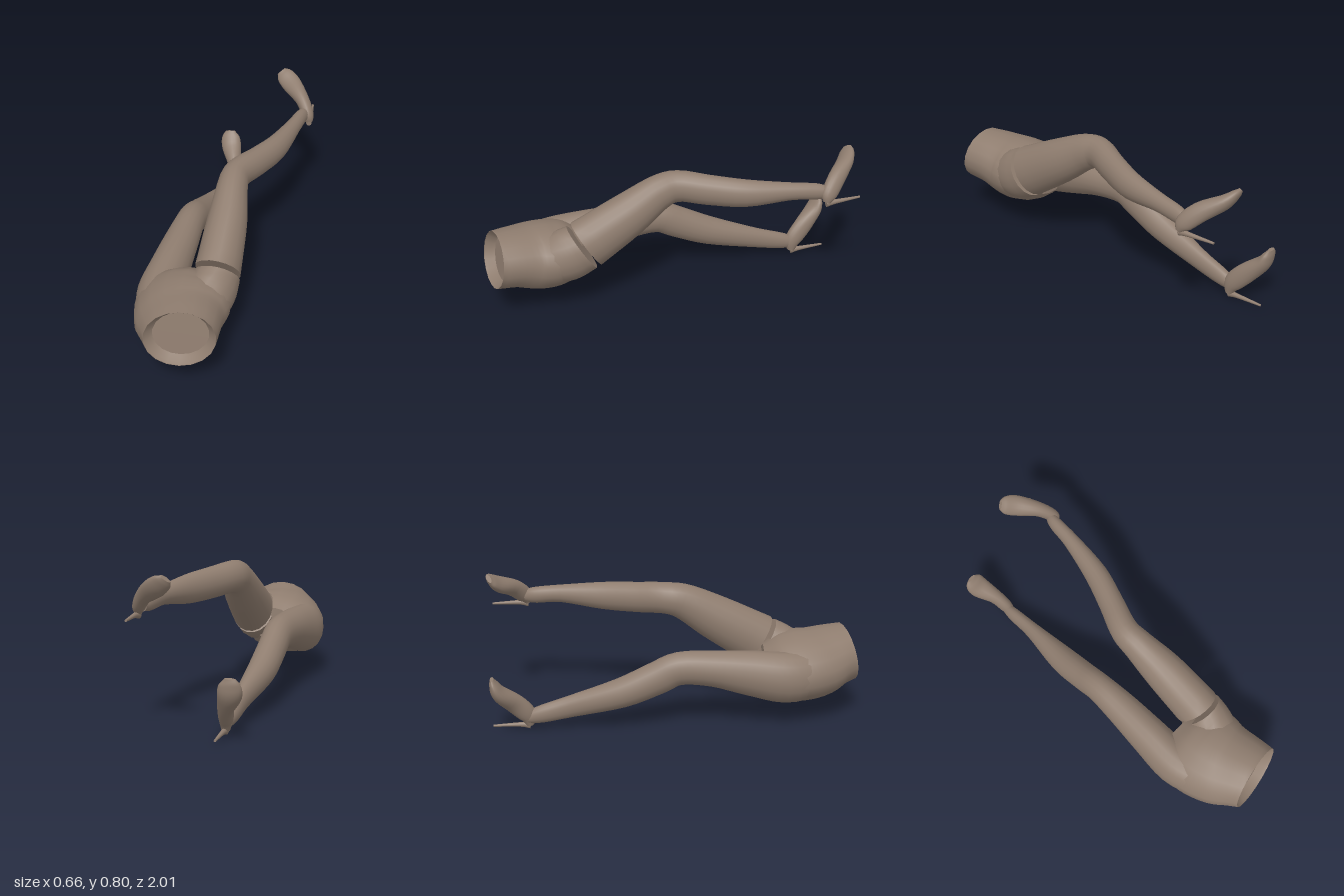
import * as THREE from 'three';

const SIDES = 18;
const STEPS = 4;

// Smooth skin through elliptical stations [x, y, z, halfWidth, halfHeight].
// up: direction of the height axis; startN / endN: cut-plane directions at the ends.
function loft(stations, { up = [0, 1, 0], startN, endN, capStart = false, capEnd = false } = {}) {
  const path = new THREE.CatmullRomCurve3(stations.map(s => new THREE.Vector3(s[0], s[1], s[2])), false, 'catmullrom');
  const radii = new THREE.CatmullRomCurve3(stations.map(s => new THREE.Vector3(s[3], s[4], 0)), false, 'catmullrom');
  const segs = stations.length - 1, rings = segs * STEPS;
  const hint = new THREE.Vector3(...up);
  const pos = [], idx = [];
  const centers = [];
  for (let i = 0; i <= rings; i++) {
    const f = i / rings;
    const c = path.getPoint(f), r = radii.getPoint(f), t = path.getTangent(f);
    const bend = (n, w) => { if (n && w > 0) t.lerp(new THREE.Vector3(...n).normalize(), w).normalize(); };
    bend(startN, 1 - f * segs);
    bend(endN, 1 - (1 - f) * segs);
    const v = hint.clone().addScaledVector(t, -hint.dot(t)).normalize();
    const u = v.clone().cross(t);
    centers.push(c);
    for (let j = 0; j < SIDES; j++) {
      const a = (j / SIDES) * Math.PI * 2;
      const p = c.clone().addScaledVector(u, Math.cos(a) * r.x).addScaledVector(v, Math.sin(a) * r.y);
      pos.push(p.x, p.y, p.z);
    }
  }
  for (let i = 0; i < rings; i++) {
    for (let j = 0; j < SIDES; j++) {
      const a = i * SIDES + j, b = i * SIDES + (j + 1) % SIDES;
      idx.push(a, b, b + SIDES, a, b + SIDES, a + SIDES);
    }
  }
  // Flat end caps with their own vertices
  const cap = (ring, flip) => {
    const base = pos.length / 3, c = centers[ring];
    for (let j = 0; j < SIDES; j++) {
      const k = (ring * SIDES + j) * 3;
      pos.push(pos[k], pos[k + 1], pos[k + 2]);
    }
    pos.push(c.x, c.y, c.z);
    for (let j = 0; j < SIDES; j++) {
      const a = base + j, b = base + (j + 1) % SIDES;
      if (flip) idx.push(b, a, base + SIDES);
      else idx.push(a, b, base + SIDES);
    }
  };
  if (capStart) cap(0, true);
  if (capEnd) cap(rings, false);
  const g = new THREE.BufferGeometry();
  g.setAttribute('position', new THREE.Float32BufferAttribute(pos, 3));
  g.setIndex(idx);
  g.computeVertexNormals();
  return g;
}

export function createModel() {
  const model = new THREE.Group();
  const skin = new THREE.MeshStandardMaterial({ color: 0x8f7d6f, side: THREE.DoubleSide });
  skin.name = 'taupe';
  const add = (name, geometry) => {
    const m = new THREE.Mesh(geometry, skin);
    m.name = name;
    model.add(m);
  };

  const waistN = [-0.14, -0.16, -1];
  const cutN = [0, 0.53, -0.85];

  // Pelvis, open at the waist and rounded off at the crotch
  add('pelvis', loft([
    [0, 0.345, 0.975, 0.183, 0.153],
    [-0.025, 0.333, 0.88, 0.207, 0.16],
    [-0.055, 0.308, 0.77, 0.237, 0.178],
    [-0.068, 0.3, 0.66, 0.25, 0.177],
    [-0.065, 0.305, 0.57, 0.228, 0.155],
    [-0.06, 0.31, 0.49, 0.13, 0.1],
  ], { up: [-0.2, 1, 0], startN: waistN, capEnd: true }));

  // Recessed plate inside the waist
  add('waistPlate', loft([
    [0, 0.345, 0.973, 0.182, 0.152],
    [-0.007, 0.34, 0.925, 0.143, 0.121],
  ], { up: [-0.2, 1, 0], startN: waistN, endN: waistN, capEnd: true }));

  // Hip stub that ends at the joint of the left leg
  add('hipStub', loft([
    [0.03, 0.315, 0.69, 0.13, 0.13],
    [0.06, 0.35, 0.59, 0.129, 0.147],
    [0.072, 0.39, 0.51, 0.12, 0.144],
  ], { endN: cutN, capEnd: true }));

  // Raised left leg, a separate piece with a flat cut at the thigh
  add('leftLeg', loft([
    [0.07, 0.405, 0.485, 0.12, 0.146],
    [0.06, 0.54, 0.25, 0.107, 0.125],
    [0.046, 0.64, 0.08, 0.084, 0.1],
    [0.05, 0.667, -0.03, 0.075, 0.088],
    [0.115, 0.655, -0.18, 0.068, 0.085],
    [0.19, 0.645, -0.37, 0.062, 0.077],
    [0.24, 0.648, -0.6, 0.043, 0.05],
    [0.26, 0.637, -0.74, 0.036, 0.046],
    [0.275, 0.63, -0.8, 0.026, 0.034],
  ], { startN: cutN, capStart: true, capEnd: true }));

  // Lower right leg, growing out of the pelvis
  add('rightLeg', loft([
    [-0.18, 0.285, 0.75, 0.11, 0.13],
    [-0.214, 0.283, 0.6, 0.116, 0.142],
    [-0.21, 0.315, 0.4, 0.105, 0.125],
    [-0.203, 0.345, 0.2, 0.092, 0.1],
    [-0.2, 0.35, 0.02, 0.078, 0.092],
    [-0.197, 0.298, -0.1, 0.077, 0.092],
    [-0.188, 0.216, -0.29, 0.074, 0.083],
    [-0.162, 0.137, -0.56, 0.043, 0.062],
    [-0.155, 0.095, -0.72, 0.036, 0.05],
    [-0.15, 0.075, -0.8, 0.026, 0.034],
  ], { capStart: true, capEnd: true }));

  // Arched feet, heel to toe
  const feet = {
    left: [
      [0.305, 0.585, -0.785, 0.02, 0.02],
      [0.29, 0.628, -0.805, 0.034, 0.046],
      [0.242, 0.688, -0.862, 0.041, 0.05],
      [0.165, 0.735, -0.938, 0.056, 0.038],
      [0.115, 0.77, -0.97, 0.05, 0.024],
      [0.09, 0.79, -0.982, 0.028, 0.012],
    ],
    right: [
      [-0.14, 0.03, -0.785, 0.022, 0.022],
      [-0.147, 0.092, -0.8, 0.036, 0.05],
      [-0.165, 0.165, -0.862, 0.042, 0.055],
      [-0.203, 0.24, -0.938, 0.06, 0.042],
      [-0.215, 0.295, -0.965, 0.055, 0.026],
      [-0.218, 0.332, -0.975, 0.028, 0.01],
    ],
  };
  for (const side of ['left', 'right']) {
    add(side + 'Foot', loft(feet[side], { up: [0, 0.8, 1], capStart: true, capEnd: true }));
  }

  // Thin tapering heel spikes
  const spike = (x, y, dx) => loft([
    [x, y, -0.785, 0.016, 0.02],
    [x, y + 0.005, -0.84, 0.012, 0.013],
    [x + dx, y + 0.006, -0.985, 0.006, 0.006],
  ], { capStart: true, capEnd: true });
  add('leftHeel', spike(0.302, 0.577, -0.012));
  add('rightHeel', spike(-0.14, 0.025, -0.006));

  return model;
}
